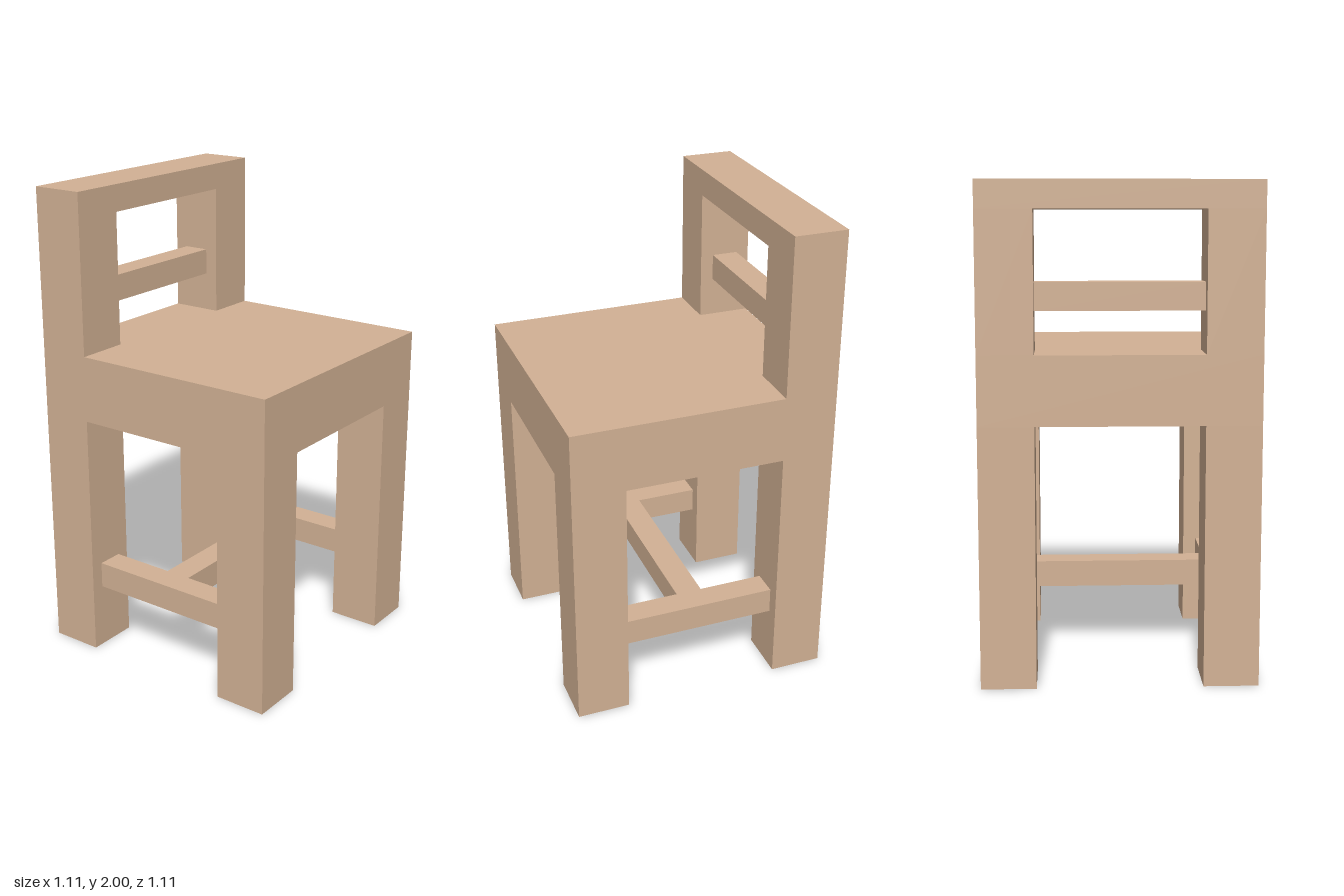
import * as THREE from 'three';

// Everything sits on a grid of 1/18 unit.
const U = 1 / 18;

export function createModel() {
  const chair = new THREE.Group();
  chair.name = 'chair';
  const wood = new THREE.MeshStandardMaterial({ color: 0xd3b295 });

  // Box from its min and max corners, in grid steps
  function block(name, [x0, y0, z0], [x1, y1, z1]) {
    const geometry = new THREE.BoxGeometry((x1 - x0) * U, (y1 - y0) * U, (z1 - z0) * U);
    const mesh = new THREE.Mesh(geometry, wood);
    mesh.position.set(x0 + x1, y0 + y1, z0 + z1).multiplyScalar(U / 2);
    mesh.name = name;
    chair.add(mesh);
  }

  // Seat
  block('seat', [-10, 19, -10], [10, 24, 10]);

  for (const [side, x] of [['left', 8], ['right', -8]]) {
    // Legs
    block(side + 'FrontLeg', [x - 2, 0, 6], [x + 2, 19, 10]);
    block(side + 'BackLeg', [x - 2, 0, -10], [x + 2, 19, -6]);
    // Side stretcher between front and back leg
    block(side + 'Stretcher', [x - 1, 5, -6], [x + 1, 7, 6]);
    // Backrest post
    block(side + 'BackPost', [x - 2, 24, -10], [x + 2, 34, -6]);
  }

  // Cross stretcher joining the side stretchers
  block('crossStretcher', [-7, 5, -1], [7, 7, 1]);

  // Backrest slat and top rail
  block('backSlat', [-6, 27, -9], [6, 29, -7]);
  block('topRail', [-10, 34, -10], [10, 36, -6]);

  return chair;
}
